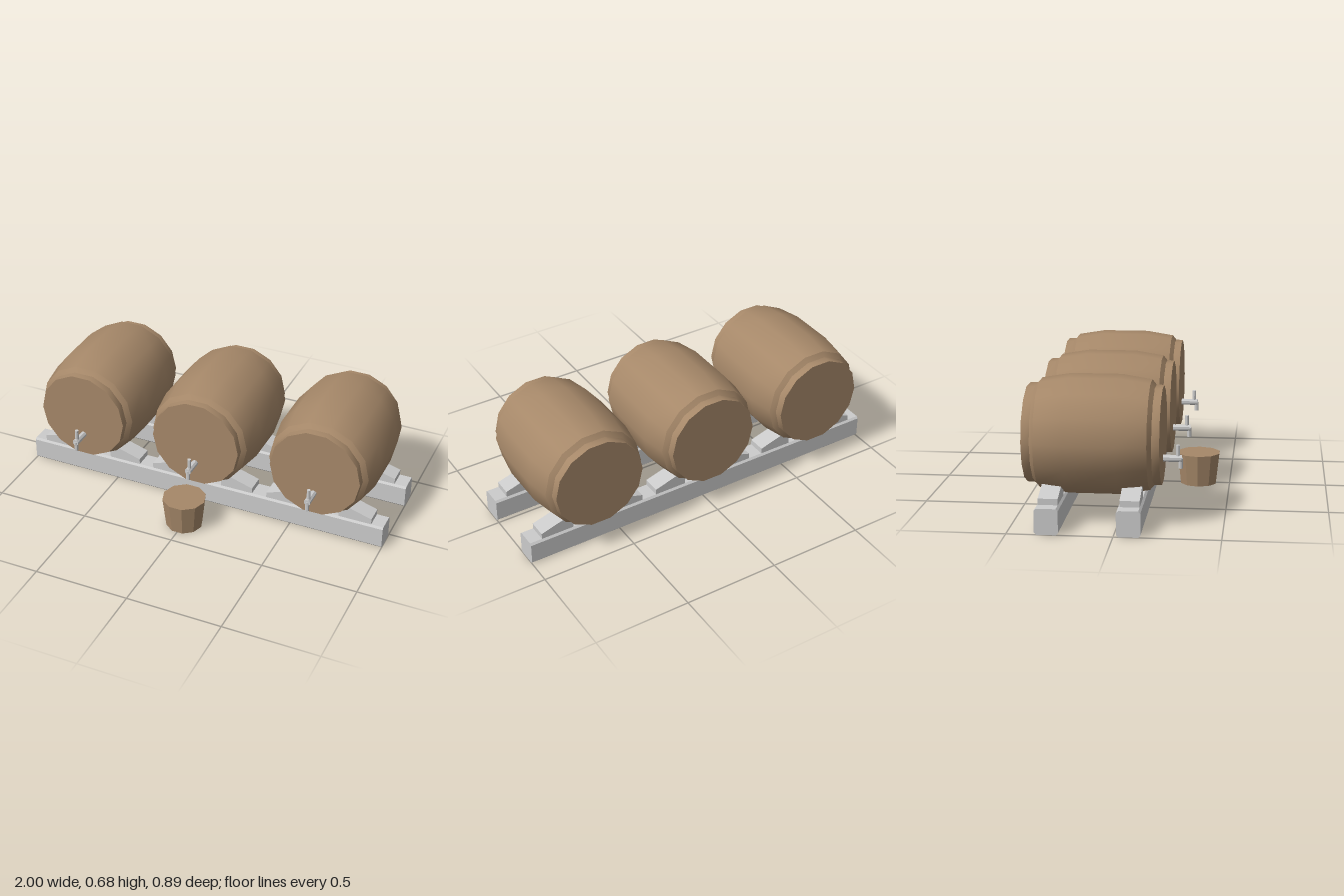
import * as THREE from 'three';
import { toCreasedNormals } from 'three/addons/utils/BufferGeometryUtils.js';

const wood = new THREE.MeshStandardMaterial({ color: 0xa68869 });
const woodFlat = new THREE.MeshStandardMaterial({ color: 0xa68869, flatShading: true });
const grey = new THREE.MeshStandardMaterial({ color: 0xcccccc, flatShading: true });

const BARREL_X = [-0.65, 0, 0.65];
const BARREL_Y = 0.405;
const BEAM_Z = [0.07, -0.312];

function add(parent, name, geometry, material, x = 0, y = 0, z = 0) {
  const mesh = new THREE.Mesh(geometry, material);
  mesh.name = name;
  mesh.position.set(x, y, z);
  parent.add(mesh);
  return mesh;
}

// Extrudes an outline along z, centred on z = 0
function prism(points, depth) {
  const shape = new THREE.Shape(points.map(([x, y]) => new THREE.Vector2(x, y)));
  return new THREE.ExtrudeGeometry(shape, { depth, bevelEnabled: false }).translate(0, 0, -depth / 2);
}

// Fourteen-sided bulging barrel lying along z
function barrelGeometry() {
  const profile = [
    [0, -0.445], [0.238, -0.445], [0.24, -0.405], [0.264, -0.385], [0.287, -0.245],
    [0.287, 0], [0.264, 0.145], [0.24, 0.165], [0.238, 0.202], [0, 0.202],
  ].map(([r, z]) => new THREE.Vector2(r, z));
  const lathe = new THREE.LatheGeometry(profile, 14, Math.PI / 2).rotateX(Math.PI / 2);
  return toCreasedNormals(lathe, 0.6);
}

// Tap with pipe, turning handle and spout
function createTap() {
  const tap = new THREE.Group();
  tap.name = 'tap';
  const pipe = new THREE.CylinderGeometry(0.017, 0.017, 0.1, 8).rotateY(Math.PI / 8).rotateX(Math.PI / 2);
  add(tap, 'tapPipe', pipe, grey, 0, 0.291, 0.242);
  add(tap, 'tapHandle', new THREE.CylinderGeometry(0.01, 0.01, 0.067, 8), grey, 0, 0.3235, 0.273);
  add(tap, 'tapSpout', new THREE.CylinderGeometry(0.011, 0.011, 0.05, 8), grey, 0, 0.268, 0.286);
  return tap;
}

export function createModel() {
  const model = new THREE.Group();
  model.name = 'barrelRack';

  // Chamfered beams running along x
  const h = 0.0565, c = 0.01, top = 0.125;
  const beam = prism([
    [-h + c, 0], [h - c, 0], [h, c], [h, top - c],
    [h - c, top], [-h + c, top], [-h, top - c], [-h, c],
  ], 2).rotateY(Math.PI / 2);
  for (const z of BEAM_Z) add(model, 'beam', beam, grey, 0, 0, z);

  // Wedge outlines for the right-hand and mirrored left-hand chocks
  const wedge = [[0.11, 0.125], [0.285, 0.125], [0.285, 0.155], [0.16, 0.193], [0.11, 0.193]];
  const chocks = [prism(wedge, 0.094), prism(wedge.map(([x, y]) => [-x, y]).reverse(), 0.094)];

  const barrel = barrelGeometry();
  for (const x of BARREL_X) {
    add(model, 'barrel', barrel, wood, x, BARREL_Y);
    const tap = createTap();
    tap.position.x = x;
    model.add(tap);
    for (const z of BEAM_Z) for (const g of chocks) add(model, 'chock', g, grey, x, 0, z);
  }

  // Ten-sided tub under the middle tap
  const tub = new THREE.CylinderGeometry(0.1135, 0.095, 0.163, 10).rotateY(Math.PI / 2);
  add(model, 'tub', tub, woodFlat, 0, 0.0815, 0.3375);

  return model;
}
